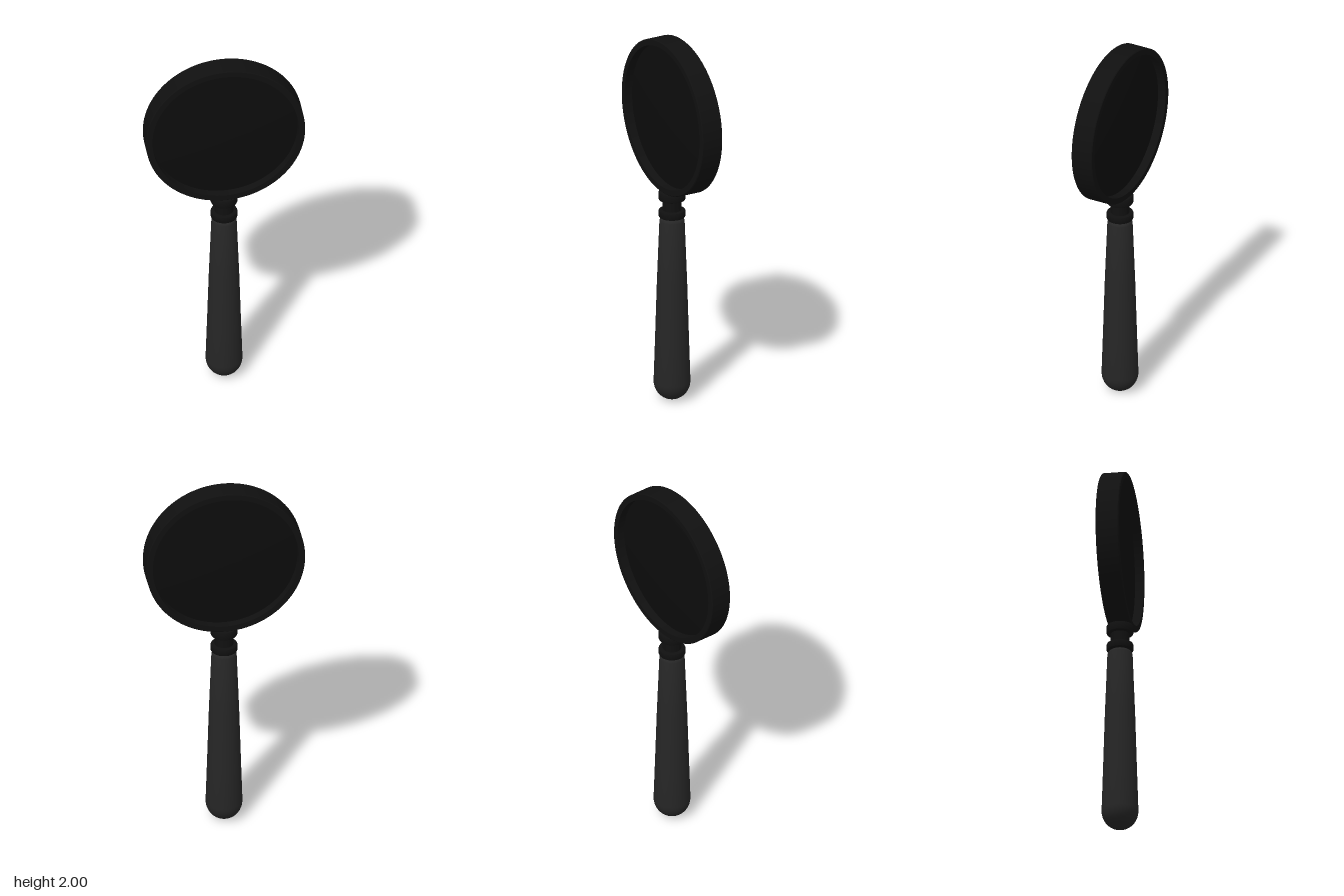
import * as THREE from 'three';
import { toCreasedNormals } from 'three/addons/utils/BufferGeometryUtils.js';

const frameMat = new THREE.MeshStandardMaterial({ color: 0x101010 });
const gripMat = new THREE.MeshStandardMaterial({ color: 0x262626 });
const lensMat = new THREE.MeshStandardMaterial({ color: 0x0c0c0c });

// Turned part from [radius, height] pairs; edges sharper than 35 degrees stay crisp
function turned(name, profile, material, segments) {
  const points = profile.map(([r, y]) => new THREE.Vector2(r, y));
  const geometry = toCreasedNormals(new THREE.LatheGeometry(points, segments), 0.6);
  const mesh = new THREE.Mesh(geometry, material);
  mesh.name = name;
  return mesh;
}

export function createModel() {
  const model = new THREE.Group();
  model.name = 'magnifyingGlass';

  // Tapered grip with a round butt and softened shoulder
  const grip = [];
  for (let i = 0; i <= 10; i++) {
    const a = (i / 10) * Math.PI / 2;
    grip.push([0.096 * Math.sin(a), 0.1 * (1 - Math.cos(a))]);
  }
  grip.push([0.088, 0.35], [0.079, 0.65]);
  for (let i = 0; i <= 6; i++) {
    const a = (i / 6) * Math.PI / 2;
    grip.push([0.037 + 0.029 * Math.cos(a), 0.99 + 0.03 * Math.sin(a)]);
  }
  grip.push([0, 1.02]);
  model.add(turned('handle', grip, gripMat, 40));

  // Neck and its two collar rings
  model.add(turned('neck', [[0, 1.01], [0.049, 1.01], [0.049, 1.19], [0, 1.19]], frameMat, 40));
  for (const [name, low, high] of [['lowerCollar', 1.018, 1.058], ['upperCollar', 1.114, 1.162]]) {
    const b = 0.007, r = 0.07;
    model.add(turned(name, [
      [0, low], [r - b, low], [r - b * 0.3, low + b * 0.3], [r, low + b],
      [r, high - b], [r - b * 0.3, high - b * 0.3], [r - b, high], [0, high],
    ], frameMat, 40));
  }

  // Head, turned about z
  const head = new THREE.Group();
  head.name = 'head';
  head.position.y = 1.5815;
  head.rotation.x = Math.PI / 2;
  const R = 0.4185, inner = 0.385, h = 0.06, b = 0.004;
  head.add(turned('rim', [
    [inner, -h], [R - b, -h], [R, -h + b], [R, h - b],
    [R - b, h], [inner, h], [inner, -h],
  ], frameMat, 96));

  // Biconvex lens seated inside the rim
  const lens = [];
  for (let i = 0; i <= 24; i++) {
    const t = i / 12 - 1;
    const r = 1 - Math.abs(t);
    const z = 0.015 + 0.022 * (1 - r * r);
    lens.push([0.388 * r, t < 0 ? -z : z]);
    if (i === 12) lens.push([0.388, -lens[12][1]]);
  }
  // Order the two edge points from back to front
  [lens[12], lens[13]] = [lens[13], lens[12]];
  head.add(turned('lens', lens, lensMat, 96));
  model.add(head);

  return model;
}
